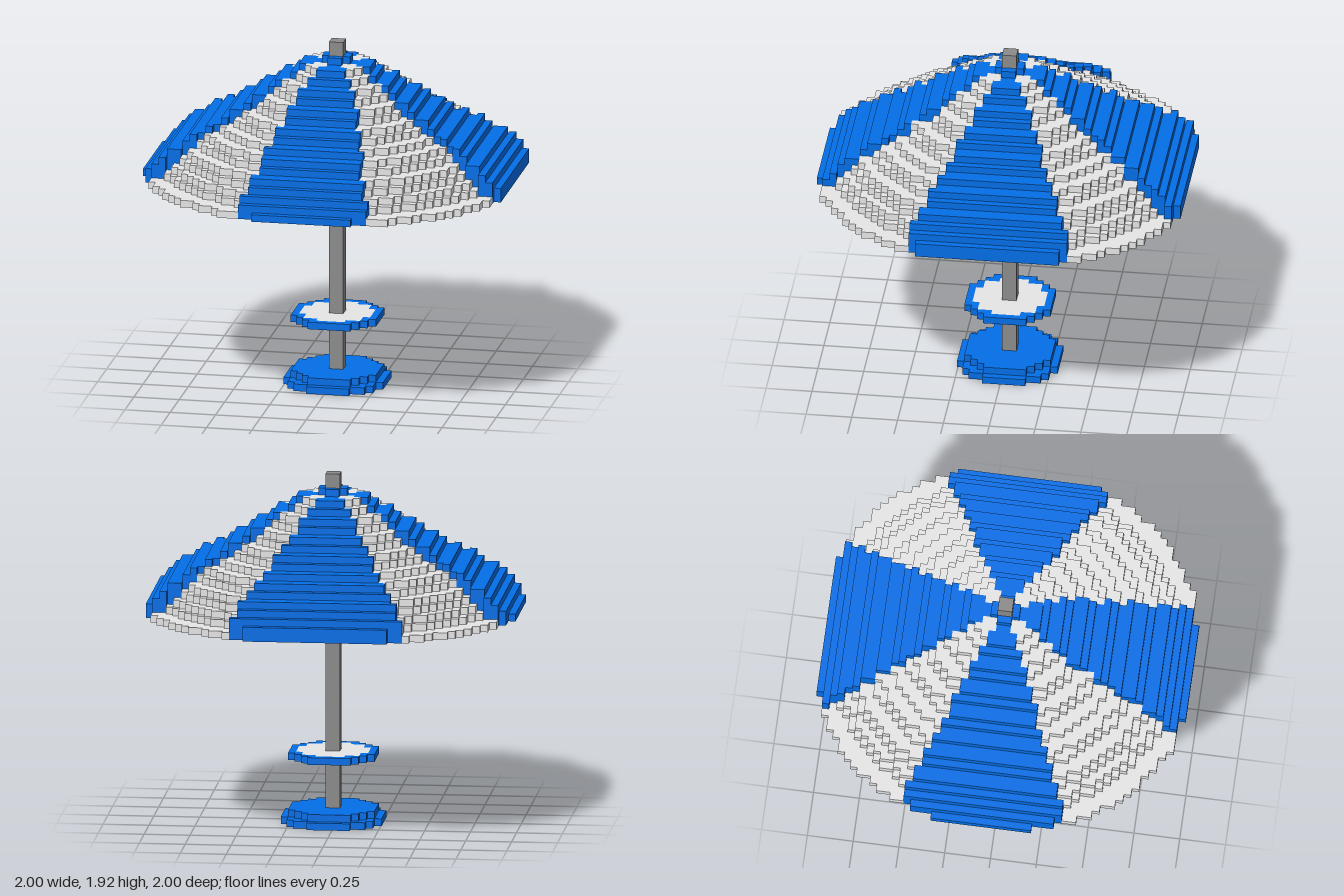
import * as THREE from 'three';
import { mergeGeometries } from 'three/addons/utils/BufferGeometryUtils.js';

const S = 2 / 51;            // block size
const CX = S / 2, CZ = -S / 2; // pole axis

const mat = (name, color) => {
  const m = new THREE.MeshStandardMaterial({ color });
  m.name = name;
  return m;
};

// A box measured in blocks from the pole axis
function block(x0, x1, y0, y1, z0, z1) {
  const g = new THREE.BoxGeometry((x1 - x0) * S, (y1 - y0) * S, (z1 - z0) * S);
  g.translate(CX + (x0 + x1) / 2 * S, (y0 + y1) / 2 * S, CZ + (z0 + z1) / 2 * S);
  return g;
}

// Fill one layer with rows of blocks; pick(x, z) returns a colour key or null
function fillLayer(bins, y, r, pick) {
  for (let z = -r; z < r; z++) {
    let start = -r, key = null;
    for (let x = -r; x <= r; x++) {
      const k = x < r ? pick(x + 0.5, z + 0.5) : null;
      if (k === key) continue;
      if (key) (bins[key] ??= []).push(block(start, x, y, y + 1, z, z + 1));
      start = x;
      key = k;
    }
  }
}

export function createModel() {
  const model = new THREE.Group();
  model.name = 'parasol';
  const mats = {
    blue: mat('blue', 0x0470ea),
    white: mat('light grey', 0xe6e6e6),
    pole: mat('pole grey', 0x8c8c8c),
    red: mat('red', 0xd03a10),
  };
  const addPart = (name, bins) => {
    const group = new THREE.Group();
    group.name = name;
    for (const key in bins) {
      const mesh = new THREE.Mesh(mergeGeometries(bins[key]), mats[key]);
      mesh.name = `${name} ${mats[key].name}`;
      group.add(mesh);
    }
    model.add(group);
  };

  // Pole
  addPart('pole', { pole: [block(-1, 1, 1, 49, -1, 1)] });

  // Two-step round base
  const base = {};
  [7.3, 6.1].forEach((r, y) =>
    fillLayer(base, y, Math.floor(r), (x, z) => (Math.hypot(x, z) < r ? 'blue' : null)));
  addPart('base', base);

  // Table: light disc with a blue rim
  const table = {};
  fillLayer(table, 9, 6, (x, z) => {
    const d = Math.hypot(x, z);
    return d > 6.1 ? null : d > 5 ? 'blue' : 'white';
  });
  addPart('table', table);

  // Canopy: stepped shell, flat blue panels with recessed light panels between
  const panel = (ax, az, back) => {
    if (az < 0.48 * ax) return 'blue';
    const half = back ? 0.5 * az : Math.min(0.5 * az, 1.8 + 0.29 * az);
    return ax < half ? 'blue' : 'white';
  };
  const radii = [26, 25, 24, 23, 22, 20, 19, 17, 15, 14, 12, 11, 9, 8, 6, 5, 2];
  const canopy = {};
  radii.forEach((r, i) => fillLayer(canopy, 30 + i, r, (x, z) => {
    const ax = Math.abs(x), az = Math.abs(z), round = Math.hypot(ax, az);
    if (x > 25 || z < -25) return null;
    if (ax < 1 && az < 1) return null; // pole passes through
    const key = panel(ax, az, z < 0);
    const outer = key === 'blue' ? 26.4 : 27.1;
    if (round > outer) return null;
    if (i === 0) return round > (key === 'blue' ? 23 : 21.8) ? key : null; // round rim
    const d = key === 'blue' ? Math.max(ax, az) : Math.max(ax, az, round / 0.98);
    return d < r && d > r - 3.5 ? key : null;
  }));
  addPart('canopy', canopy);

  // Small red clips inside the canopy, along the panel seams
  const clips = [[-20, 30, -10], [7, 30, 20], [-8, 36, -15], [-6, 38, -12], [-3, 43, -5]];
  addPart('clips', {
    red: clips.map(([x, y, z]) => block(x, x + 1, y, y + 1, z, z + 1)),
  });

  return model;
}
